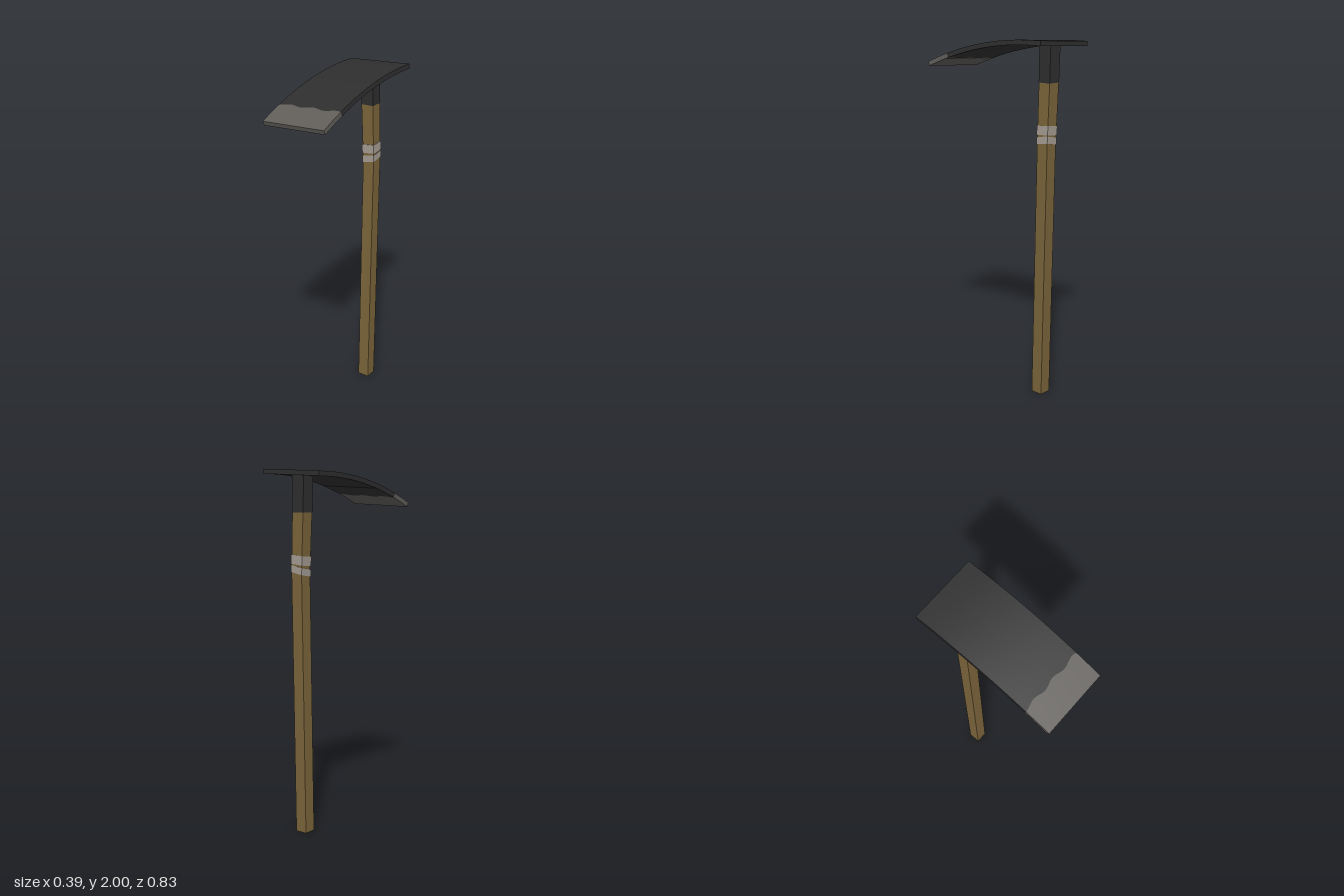
import * as THREE from 'three';
import { mergeGeometries } from 'three/addons/utils/BufferGeometryUtils.js';

const mat = (name, color) => {
  const m = new THREE.MeshStandardMaterial({ color });
  m.name = name;
  return m;
};

// Grid surface from f(u, v) -> [x, y, z]; its front is along (df/du x df/dv)
function sheet(f, nu, nv) {
  const pos = [], index = [];
  for (let j = 0; j <= nv; j++)
    for (let i = 0; i <= nu; i++) pos.push(...f(i / nu, j / nv));
  for (let j = 0; j < nv; j++)
    for (let i = 0; i < nu; i++) {
      const a = j * (nu + 1) + i, b = a + 1, c = a + nu + 1, d = c + 1;
      index.push(a, b, d, a, d, c);
    }
  const g = new THREE.BufferGeometry();
  g.setAttribute('position', new THREE.Float32BufferAttribute(pos, 3));
  g.setIndex(index);
  g.computeVertexNormals();
  return g;
}

// Shaft centre line and half width: [y, x, z, half width]
const STATIONS = [
  [0, 0.015, -0.291, 0.035],
  [1.45, 0.015, -0.315, 0.035],
  [1.77, 0.002, -0.316, 0.037],
  [1.97, -0.003, -0.316, 0.038],
];
function shaftAt(y) {
  let k = 0;
  while (k < STATIONS.length - 2 && y > STATIONS[k + 1][0]) k++;
  const a = STATIONS[k], b = STATIONS[k + 1];
  const t = (y - a[0]) / (b[0] - a[0]);
  return [1, 2, 3].map((n) => THREE.MathUtils.lerp(a[n], b[n], t));
}

// Square sleeve following the shaft; grow makes it proud, tilt slants its ends
const CORNERS = [[-1, 1], [1, 1], [1, -1], [-1, -1]];
function sleeve(ys, grow = 0, tilt = 0) {
  const point = (c, y) => {
    const [x, z, h] = shaftAt(y);
    const dx = c[0] * (h + grow), dz = c[1] * (h + grow);
    return [x + dx, y + tilt * (dx - 0.7 * dz), z + dz];
  };
  const mix = (a, b, t) => a.map((n, i) => n + (b[i] - n) * t);
  const parts = [];
  for (let s = 0; s < 4; s++) {
    const a = CORNERS[s], b = CORNERS[(s + 1) % 4];
    for (let k = 0; k < ys.length - 1; k++)
      parts.push(sheet((u, v) => mix(point(a, ys[k + v]), point(b, ys[k + v]), u), 1, 1));
  }
  const cap = (y, sx) => sheet((u, v) =>
    mix(mix(point([-sx, 1], y), point([sx, 1], y), u),
      mix(point([-sx, -1], y), point([sx, -1], y), u), v), 1, 1);
  parts.push(cap(ys[0], -1), cap(ys[ys.length - 1], 1));
  return mergeGeometries(parts);
}

// Curved blade between two ends given as z = f(x)
const HALF = 0.19, THICK = 0.026, PIVOT = 1.9;
function bladePoint(x, z, depth) {
  const t = Math.max(0, z + 0.35), slope = -0.526 * t, n = Math.hypot(1, slope);
  return [x, 1.99 - 0.263 * t * t - PIVOT - depth / n, z + (depth * slope) / n];
}
function bladeSection(back, front, capBack, capFront) {
  const zAt = (x, v) => THREE.MathUtils.lerp(back(x), front(x), v);
  const X = (u) => (2 * u - 1) * HALF;
  const parts = [
    sheet((u, v) => bladePoint(X(1 - u), zAt(X(1 - u), v), 0), 32, 14),
    sheet((u, v) => bladePoint(X(u), zAt(X(u), v), THICK), 32, 14),
    sheet((u, v) => bladePoint(HALF, zAt(HALF, v), THICK * u), 1, 14),
    sheet((u, v) => bladePoint(-HALF, zAt(-HALF, v), THICK * (1 - u)), 1, 14),
  ];
  // top and side sheets run front-facing outward
  parts.forEach((g, i) => orient(g, [[0, 1, 0], [0, -1, 0], [1, 0, 0], [-1, 0, 0]][i]));
  const end = (z, dir) => orient(sheet((u, v) => bladePoint(X(u), z, THICK * v), 1, 1), [0, 0, dir]);
  if (capBack) parts.push(end(back(0), -1));
  if (capFront) parts.push(end(front(0), 1));
  return mergeGeometries(parts);
}

// Flip a sheet when it faces away from the wanted direction
function orient(g, dir) {
  const n = new THREE.Vector3().fromBufferAttribute(g.attributes.normal, 0);
  if (n.dot(new THREE.Vector3(...dir)) < 0) {
    g.setIndex(Array.from(g.index.array).reverse());
    g.computeVertexNormals();
  }
  return g;
}

export function createModel() {
  const wood = mat('wood', 0x7a643a);
  const iron = mat('dark iron', 0x2e2e2e);
  const worn = mat('worn steel', 0x605d59);
  const cord = mat('pale binding', 0xa39b92);

  const model = new THREE.Group();
  model.name = 'hoe';
  const add = (parent, name, geometry, material) => {
    const mesh = new THREE.Mesh(geometry, material);
    mesh.name = name;
    parent.add(mesh);
  };

  // Handle, iron socket and the two slanted bindings
  add(model, 'handle', sleeve([0, 1.45, 1.77]), wood);
  add(model, 'socket', sleeve([1.77, 1.97], 0.001), iron);
  add(model, 'lowerBinding', sleeve([1.442, 1.48], 0.003, 0.2), cord);
  add(model, 'upperBinding', sleeve([1.492, 1.542], 0.003, 0.1), cord);

  // Blade, slightly rolled, with a ragged border to the worn cutting edge
  const blade = new THREE.Group();
  blade.name = 'blade';
  blade.position.y = PIVOT;
  blade.rotation.z = 0.053;
  const border = (x) => 0.264 + 0.007 * Math.cos(((x + 0.05) * 2 * Math.PI) / 0.14);
  add(blade, 'bladeBody', bladeSection(() => -0.414, border, true, false), iron);
  add(blade, 'cuttingEdge', bladeSection(border, () => 0.413, false, true), worn);
  model.add(blade);
  return model;
}
